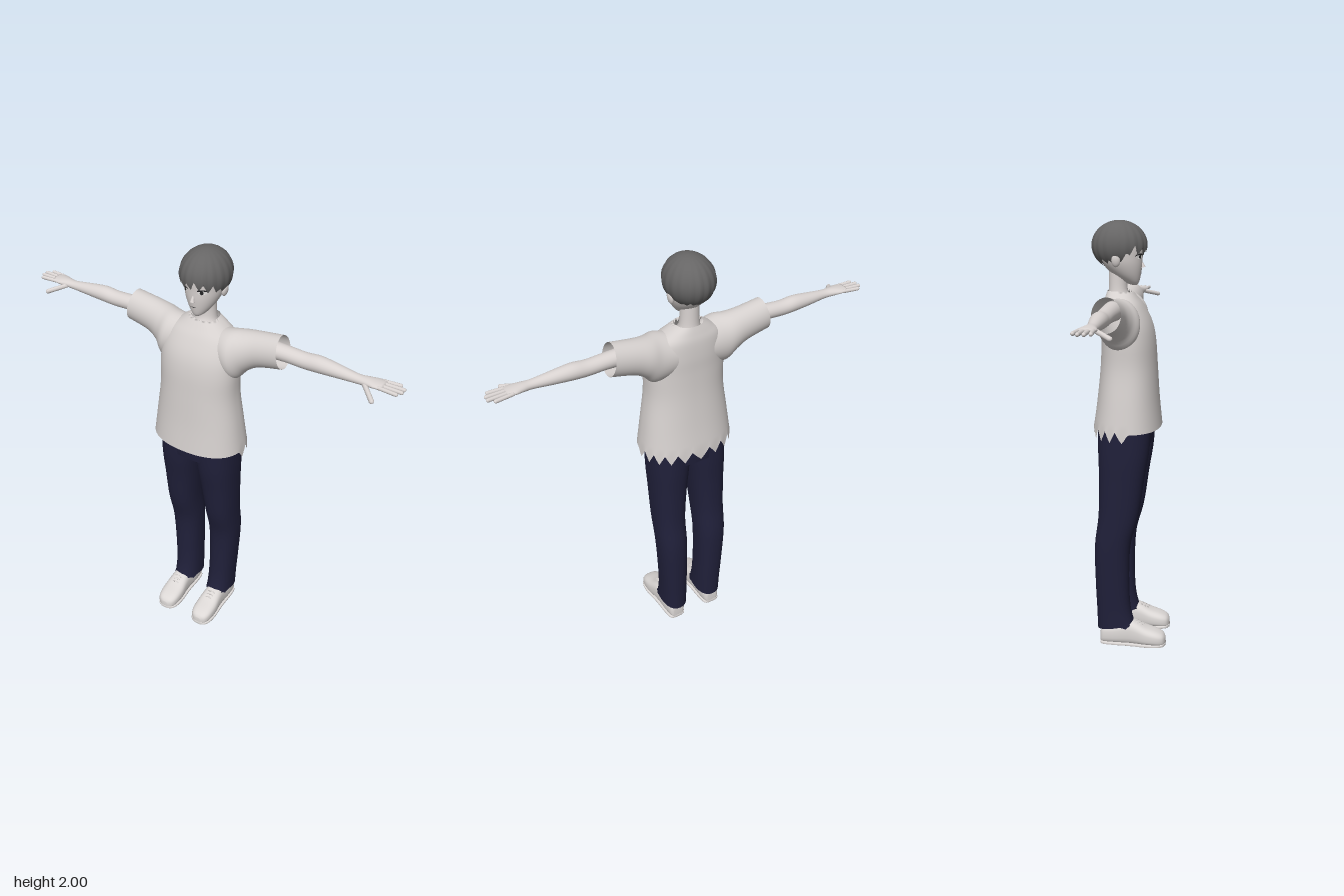
import * as THREE from 'three';

const paint = (name, color, side = THREE.FrontSide) => {
  const m = new THREE.MeshStandardMaterial({ color, side });
  m.name = name;
  return m;
};

// Resample a short table of section values along a smooth curve
function smooth(rows, n) {
  const out = [];
  const k = rows.length - 1;
  for (let j = 0; j <= n; j++) {
    const u = (j / n) * k, i = Math.min(k - 1, Math.floor(u)), t = u - i;
    out.push(rows[i].map((b, c) => {
      const p = rows[Math.max(0, i - 1)][c], d = rows[i + 1][c], e = rows[Math.min(k, i + 2)][c];
      const m0 = (d - p) / 2, m1 = (e - b) / 2, t2 = t * t, t3 = t2 * t;
      return (2 * t3 - 3 * t2 + 1) * b + (t3 - 2 * t2 + t) * m0 + (3 * t2 - 2 * t3) * d + (t3 - t2) * m1;
    }));
  }
  return out;
}

// Skin a list of closed rings; caps close the first and last ring
function loft(rings, { caps = false, flip = false } = {}) {
  const n = rings[0].length, pos = rings.flat(2), idx = [];
  const tri = (a, b, c) => (flip ? idx.push(a, c, b) : idx.push(a, b, c));
  for (let j = 0; j < rings.length - 1; j++) {
    for (let i = 0; i < n; i++) {
      const a = j * n + i, b = j * n + (i + 1) % n;
      tri(a, a + n, b);
      tri(b, a + n, b + n);
    }
  }
  if (caps) {
    [0, rings.length - 1].forEach((j) => {
      const ring = rings[j], c = pos.length / 3;
      pos.push(...[0, 1, 2].map((k) => ring.reduce((s, p) => s + p[k], 0) / n));
      for (let i = 0; i < n; i++) {
        const a = j * n + i, b = j * n + (i + 1) % n;
        if (j === 0) tri(c, a, b); else tri(c, b, a);
      }
    });
  }
  const g = new THREE.BufferGeometry();
  g.setAttribute('position', new THREE.Float32BufferAttribute(pos, 3));
  g.setIndex(idx);
  g.computeVertexNormals();
  return g;
}

// Unit superellipse points as [cos, sin, angle]
const oval = (n, e) => Array.from({ length: n }, (_, i) => {
  const a = (i / n) * Math.PI * 2, c = Math.cos(a), s = Math.sin(a);
  return [Math.sign(c) * Math.abs(c) ** (2 / e), Math.sign(s) * Math.abs(s) ** (2 / e), a];
});

// Upright part from rows [y, xMin, xMax, zFront, zBack]; edge() reshapes ring heights
function upright(rows, steps, seg, e, opts, edge = (y) => y) {
  const o = oval(seg, e);
  return loft(smooth(rows, steps).map(([y, x0, x1, zf, zb], j) => o.map(([c, s], i) =>
    [(x0 + x1) / 2 + c * (x1 - x0) / 2, edge(y, j, i, s), (zf + zb) / 2 + s * (zf - zb) / 2])), opts);
}

// Sideways part from rows [x, yCentre, yRadius, zCentre, zRadius]
function sideways(rows, steps, seg, opts, slant = 0) {
  const o = oval(seg, 2);
  return loft(smooth(rows, steps).map(([x, cy, ry, cz, rz]) =>
    o.map(([c, s]) => [x - slant * c * ry, cy + c * ry, cz - s * rz])), opts);
}

// Part running front to back from rows [z, halfWidth, top], flat on the ground
function grounded(rows, cx, e, opts) {
  const o = oval(32, e);
  return loft(smooth(rows, 28).map(([z, w, h]) => o.map(([c, s]) => [cx + c * w, h / 2 * (1 - s), z])), opts);
}

function mirrored(geo) {
  const g = geo.clone().scale(-1, 1, 1), ix = g.index.array;
  for (let i = 0; i < ix.length; i += 3) [ix[i + 1], ix[i + 2]] = [ix[i + 2], ix[i + 1]];
  g.computeVertexNormals();
  return g;
}

const tooth = (i, n) => Math.abs((i % n) - n / 2) / (n / 2);

export function createModel() {
  const root = new THREE.Group();
  root.name = 'standingFigure';
  const skin = paint('skin', 0xd9d3d1, THREE.DoubleSide);
  const cloth = paint('shirtCloth', 0xd5d0ce, THREE.DoubleSide);
  const navy = paint('trouserNavy', 0x20203a, THREE.DoubleSide);
  const hairGrey = paint('hairGrey', 0x666565, THREE.DoubleSide);
  const shoeWhite = paint('shoeWhite', 0xdcd8d6);
  const dark = paint('darkDetail', 0x262628, THREE.DoubleSide);
  const white = paint('eyeWhite', 0xefecea, THREE.DoubleSide);

  const add = (name, geo, mat) => {
    const m = new THREE.Mesh(geo, mat);
    m.name = name;
    root.add(m);
  };
  const pair = (name, geo, mat) => {
    add('left' + name, geo, mat);
    add('right' + name, mirrored(geo), mat);
  };

  // Loose shirt with a ragged collar and back hem
  const wide = (y, w, f, b) => [y, -w, w, f, b];
  add('shirt', upright([
    wide(1.07, .225, .145, -.168), wide(1.2, .208, .132, -.15), wide(1.35, .188, .122, -.135),
    wide(1.47, .188, .113, -.13), wide(1.55, .183, .095, -.13), wide(1.62, .16, .06, -.125),
    wide(1.66, .11, .03, -.115), wide(1.69, .062, .005, -.105),
  ], 32, 120, 2.3, {}, (y, j, i, s) => {
    if (j === 0) return s < .15 ? 1.08 - .05 * tooth(i, 6) : 1.07;
    if (j === 32 && s > .1) return y - .022 * tooth(i, 8);
    return y;
  }), cloth);
  pair('Sleeve', sideways([
    [.08, 1.555, .095, -.04, .08], [.16, 1.555, .112, -.03, .093], [.21, 1.58, .092, -.045, .08],
    [.27, 1.601, .079, -.052, .068], [.38, 1.622, .074, -.052, .063],
  ], 20, 40, {}, .17), cloth);

  // Neck and upper chest
  add('neck', upright([
    wide(1.6, .11, .03, -.11), wide(1.66, .057, 0, -.105), wide(1.7, .044, -.015, -.1), wide(1.78, .042, -.012, -.1),
  ], 12, 32, 2, {}), skin);

  // Arms and hands
  pair('Arm', sideways([
    [.2, 1.62, .045, -.05, .045], [.38, 1.622, .036, -.052, .038], [.48, 1.618, .035, -.053, .036],
    [.55, 1.622, .036, -.053, .037], [.64, 1.62, .028, -.051, .03], [.72, 1.618, .02, -.048, .023],
    [.765, 1.62, .018, -.05, .029], [.8, 1.622, .014, -.052, .037], [.835, 1.622, .01, -.054, .034],
  ], 32, 24, { caps: true }), skin);
  const finger = (from, to, r) => {
    const a = new THREE.Vector3(...from), b = new THREE.Vector3(...to), d = b.clone().sub(a);
    const g = new THREE.CapsuleGeometry(r, d.length() - r, 4, 10);
    g.applyQuaternion(new THREE.Quaternion().setFromUnitVectors(new THREE.Vector3(0, 1, 0), d.normalize()));
    const m = a.add(b).multiplyScalar(.5);
    return g.translate(m.x, m.y, m.z);
  };
  [[-.082, -.092, .892], [-.064, -.07, .915], [-.045, -.046, .914], [-.027, -.022, .9]].forEach(([z0, z1, x], i) =>
    pair('Finger' + (i + 1), finger([.81, 1.622, z0], [x, 1.62, z1], .0085), skin));
  pair('Thumb', finger([.755, 1.615, -.035], [.825, 1.592, .038], .0105), skin);

  // Trousers: hips and two straight legs
  add('hips', upright([
    wide(.99, .185, .098, -.138), wide(1.06, .186, .105, -.138), wide(1.2, .17, .1, -.12),
  ], 8, 48, 2.4, {}), navy);
  pair('TrouserLeg', upright([
    [.085, .035, .162, .036, -.147], [.18, .036, .163, .012, -.15], [.32, .037, .17, .005, -.155],
    [.5, .035, .18, .012, -.156], [.65, .033, .183, .05, -.138], [.82, .018, .187, .075, -.134],
    [.95, .003, .19, .096, -.138], [1.08, -.005, .187, .106, -.138],
  ], 32, 48, 2.3, {}, (y, j, i, s) => (j ? y : .095 + .018 * s - (s > .2 ? .016 * tooth(i, 4) : 0))), navy);

  // Rounded shoes with soles and laces
  const shoe = [[-.132, .024, .065], [-.12, .04, .095], [-.07, .046, .105], [0, .047, .122], [.04, .05, .114],
    [.09, .055, .09], [.14, .052, .073], [.17, .039, .058], [.182, .016, .04]];
  pair('Shoe', grounded(shoe, .103, 2.8, { caps: true }), shoeWhite);
  pair('Sole', grounded(shoe.map(([z, w]) => [z * 1.005, w + .002, .014]), .103, 6, { caps: true }), shoeWhite);
  [.045, .06, .075].forEach((z, k) => {
    const y = .117 - k * .008;
    const path = new THREE.CatmullRomCurve3([[.078, y - .012], [.103, y], [.128, y - .012]]
      .map(([x, h]) => new THREE.Vector3(x, h, z)));
    pair('Lace' + (k + 1), new THREE.TubeGeometry(path, 8, .003, 6), shoeWhite);
  });

  // Head with a narrow chin
  const headRows = [wide(1.714, .008, .027, .008), wide(1.728, .03, .037, -.03), wide(1.76, .056, .045, -.08),
    wide(1.8, .076, .051, -.12), wide(1.84, .086, .053, -.14), wide(1.9, .09, .055, -.15),
    wide(1.95, .075, .035, -.135), wide(1.975, .03, 0, -.09)];
  add('head', upright(headRows, 36, 48, 2, { caps: true }), skin);
  add('nose', new THREE.ConeGeometry(.011, .042, 8).rotateX(-.3).translate(0, 1.813, .05), skin);
  pair('Ear', new THREE.SphereGeometry(1, 16, 12).scale(.012, .03, .02).rotateZ(-.15).translate(.09, 1.828, -.055), skin);

  // Thin face plates that follow the curve of the head
  const fine = smooth(headRows, 200);
  const faceZ = (x, y) => {
    const [, , w, f, b] = fine.reduce((p, q) => (Math.abs(q[0] - y) < Math.abs(p[0] - y) ? q : p));
    return (f + b) / 2 + (f - b) / 2 * Math.sqrt(Math.max(0, 1 - (x / w) ** 2));
  };
  const plate = (points, lift) => {
    const g = new THREE.ShapeGeometry(new THREE.Shape(points.map(([x, y]) => new THREE.Vector2(x, y))));
    const p = g.attributes.position;
    for (let i = 0; i < p.count; i++) p.setZ(i, faceZ(p.getX(i), p.getY(i)) + lift);
    g.computeVertexNormals();
    return g;
  };
  const disc = (x, y, rx, ry) => oval(16, 2).map(([c, s]) => [x + c * rx, y + s * ry]);
  pair('EyeWhite', plate(disc(.041, 1.842, .018, .009), .003), white);
  pair('Iris', plate(disc(.04, 1.842, .007, .009), .005), dark);
  pair('Lash', plate([[.02, 1.845], [.042, 1.851], [.064, 1.844], [.06, 1.852], [.042, 1.857], [.026, 1.854]], .005), dark);
  pair('Brow', plate([[.02, 1.87], [.042, 1.876], [.062, 1.871], [.042, 1.881], [.02, 1.876]], .004), dark);
  add('mouth', plate([[-.016, 1.766], [0, 1.764], [.016, 1.766], [0, 1.768]], .003), dark);

  // Short hair: ridged cap with uneven pointed ends and a fringe
  const seg = 144, rows = 24, rings = [];
  for (let j = 0; j <= rows; j++) {
    rings.push(oval(seg, 2).map(([c, s, a], i) => {
      const front = THREE.MathUtils.smoothstep(s, .2, .65);
      const low = 1.83 - .025 * Math.max(0, -s) + .038 * front + .008 * Math.sin(a * 5 + 1)
        + (.018 + .02 * front) * (tooth(i, 8) - .5);
      const phi = (j / rows) * Math.acos((low - 1.89) / .11);
      const r = Math.sin(phi) * (.985 + .025 * tooth(i, 8) * Math.sin(phi));
      return [c * r * .109, 1.89 + .11 * Math.cos(phi), -.051 + s * r * .125];
    }));
  }
  add('hair', loft(rings, { flip: true }), hairGrey);

  return root;
}
